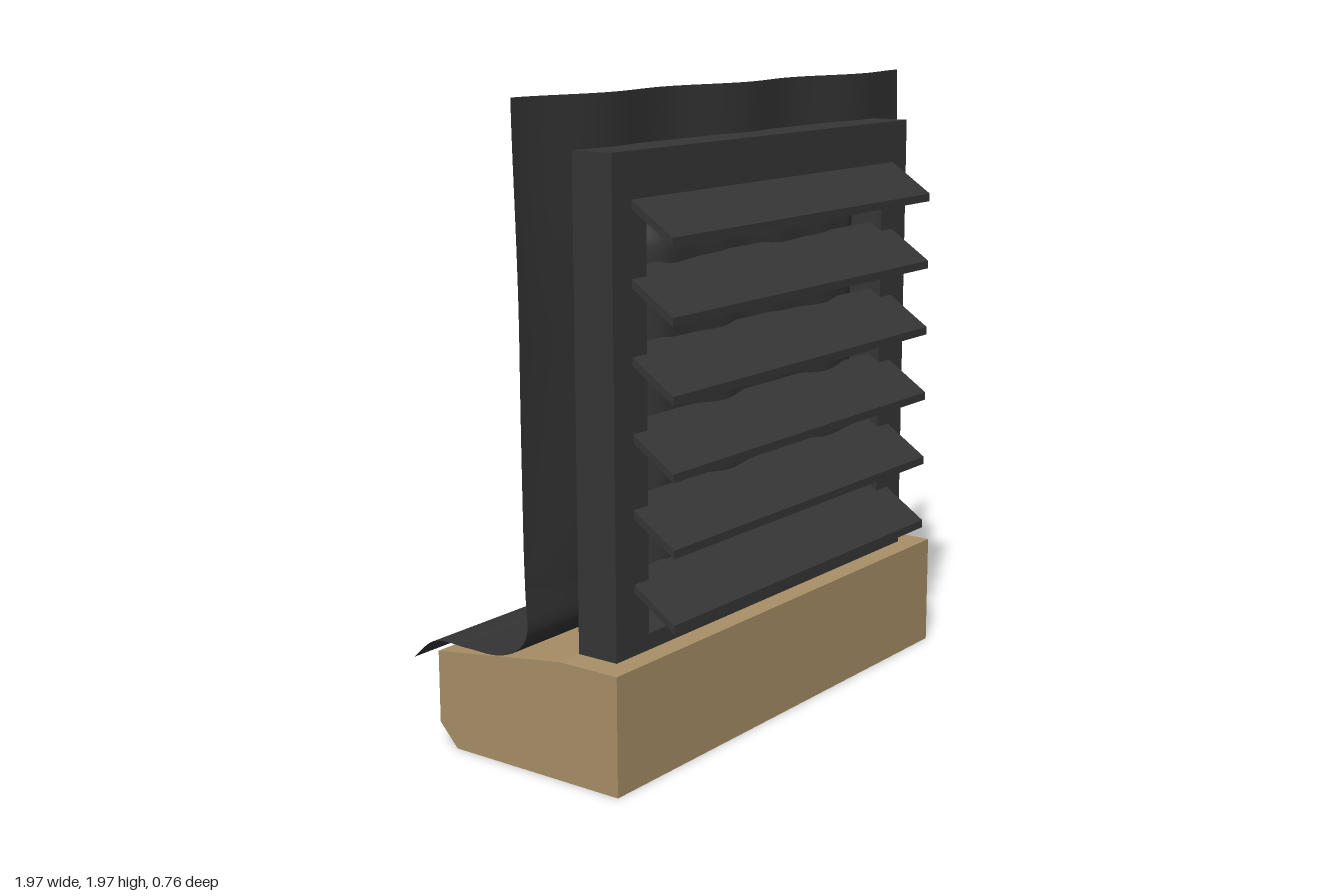
import * as THREE from 'three';

const wood = new THREE.MeshStandardMaterial({ color: 0xa88f66 });
wood.name = 'wood';
const black = new THREE.MeshStandardMaterial({ color: 0x363636 });
black.name = 'black';
const sheetBlack = new THREE.MeshStandardMaterial({ color: 0x343434, side: THREE.DoubleSide });
sheetBlack.name = 'sheet black';

function mesh(name, geometry, material) {
  const m = new THREE.Mesh(geometry, material);
  m.name = name;
  return m;
}

// Side profile of [z, y] points, extruded along x and centred
function sideExtrude(points, width) {
  const shape = new THREE.Shape(points.map(([z, y]) => new THREE.Vector2(z, y)));
  const g = new THREE.ExtrudeGeometry(shape, { depth: width, bevelEnabled: false });
  g.translate(0, 0, -width / 2);
  g.rotateY(-Math.PI / 2);
  return g;
}

function rectangle(path, x, y0, y1) {
  path.moveTo(-x, y0);
  path.lineTo(x, y0);
  path.lineTo(x, y1);
  path.lineTo(-x, y1);
  path.closePath();
  return path;
}

// Draped membrane: a sheet following a side curve, rippled and pressed into the opening
function membraneGeometry() {
  const curve = new THREE.CatmullRomCurve3([
    [0.095, 1.965], [0.093, 1.2], [0.093, 0.6], [0.09, 0.47], [0.05, 0.42],
    [-0.02, 0.393], [-0.14, 0.39], [-0.27, 0.385], [-0.355, 0.318],
  ].map(([z, y]) => new THREE.Vector3(0, y, z)));
  const cols = 96, rows = 96;
  const g = new THREE.PlaneGeometry(1.97, 1, cols, rows);
  const pos = g.attributes.position;
  const step = THREE.MathUtils.smoothstep;
  for (let r = 0; r <= rows; r++) {
    const p = curve.getPointAt(r / rows);
    const upright = step(p.y, 0.42, 0.75);
    for (let c = 0; c <= cols; c++) {
      const i = r * (cols + 1) + c;
      const x = pos.getX(i);
      const ripple = 0.024 * Math.cos(x * 9.6 + 0.5 * Math.sin(p.y * 3)) * upright
        * (0.35 + 0.65 * step(p.y, 1.3, 1.965));
      const press = (1 - step(Math.abs(x), 0.48, 0.68))
        * step(p.y, 0.42, 0.58) * (1 - step(p.y, 1.52, 1.72));
      const pressedZ = 0.203 + 0.009 * Math.sin(x * 11 + p.y * 4) + 0.004 * Math.sin(x * 23);
      pos.setXYZ(i, x, p.y, THREE.MathUtils.lerp(p.z + ripple, pressedZ, press));
    }
  }
  g.computeVertexNormals();
  return g;
}

export function createModel() {
  const group = new THREE.Group();
  group.name = 'louvreVent';

  // Timber sill with sloping top and chamfered back edge
  group.add(mesh('timberSill', sideExtrude([
    [0.31, 0], [0.31, 0.362], [0.1, 0.362], [-0.38, 0.296], [-0.38, 0.07], [-0.312, 0],
  ], 1.716), wood));

  // Rectangular frame with an open centre
  const outline = rectangle(new THREE.Shape(), 0.772, 0.355, 1.813);
  outline.holes.push(rectangle(new THREE.Path(), 0.622, 0.412, 1.663));
  const frame = new THREE.ExtrudeGeometry(outline, { depth: 0.14, bevelEnabled: false });
  frame.translate(0, 0, 0.1);
  group.add(mesh('frame', frame, black));

  // Slanted slats
  const slat = sideExtrude([
    [0.383, 1.56], [0.383, 1.585], [0.2, 1.706], [0.2, 1.681],
  ], 1.376);
  const slats = new THREE.Group();
  slats.name = 'slats';
  for (let i = 0; i < 6; i++) {
    const s = mesh('slat', slat, black);
    s.position.y = -0.2208 * i;
    slats.add(s);
  }
  group.add(slats);

  // Membrane behind the frame, running out over the sill
  group.add(mesh('membrane', membraneGeometry(), sheetBlack));

  return group;
}
